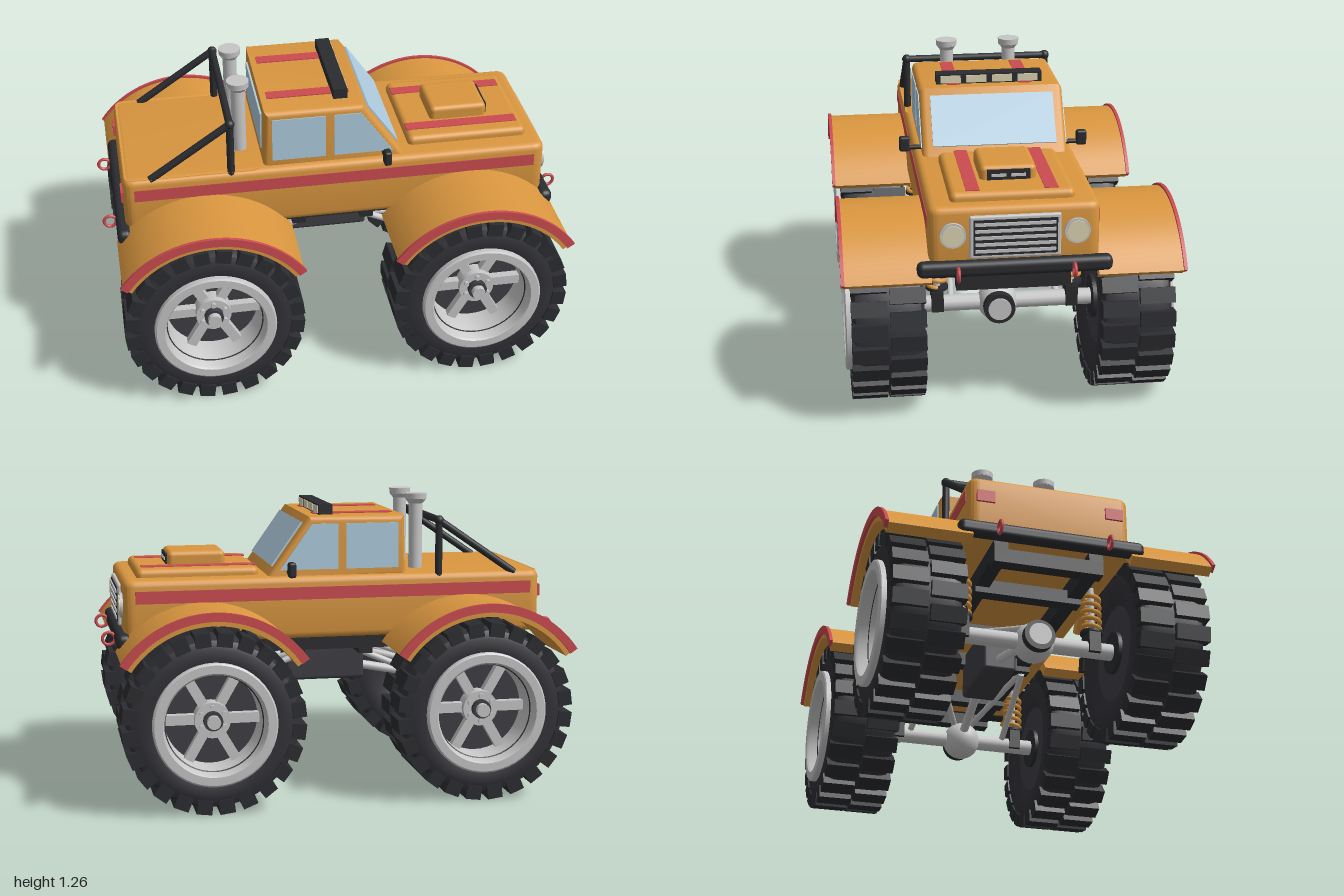
import * as THREE from 'three';
import { mergeGeometries, toCreasedNormals } from 'three/addons/utils/BufferGeometryUtils.js';
import { RoundedBoxGeometry } from 'three/addons/geometries/RoundedBoxGeometry.js';

const mat = (name, color) => Object.assign(new THREE.MeshStandardMaterial({ color }), { name });
const M = {
  paint: mat('orange paint', 0xd9963f),
  red: mat('red trim', 0xcb4b50),
  black: mat('black metal', 0x2b2c30),
  rubber: mat('tyre rubber', 0x323238),
  liner: mat('dark grey', 0x3e3d43),
  silver: mat('silver metal', 0xc6c6c6),
  glass: mat('window glass', 0xafcde0),
  lamp: mat('cream lamp', 0xdcd6b4),
};
const WX = 0.572, WY = 0.385, WZ = 0.503;
const SIDES = [1, -1];

function add(parent, name, geo, material, x = 0, y = 0, z = 0) {
  const m = new THREE.Mesh(geo, material);
  m.name = name;
  m.position.set(x, y, z);
  parent.add(m);
  return m;
}
const box = (w, h, d) => new THREE.BoxGeometry(w, h, d);
const rbox = (w, h, d, r) => new RoundedBoxGeometry(w, h, d, 3, r);
const cyl = (r1, r2, h, n = 24) => new THREE.CylinderGeometry(r1, r2, h, n);
const discZ = (r, h, n = 32) => cyl(r, r, h, n).rotateX(Math.PI / 2);
const discX = (r, h, n = 28) => cyl(r, r, h, n).rotateZ(-Math.PI / 2);

// Round bar between two points
function bar(parent, name, a, b, r, material) {
  const p = new THREE.Vector3(...a), q = new THREE.Vector3(...b);
  const m = add(parent, name, cyl(r, r, p.distanceTo(q), 12), material);
  m.position.copy(p).lerp(q, 0.5);
  m.quaternion.setFromUnitVectors(new THREE.Vector3(0, 1, 0), q.sub(p).normalize());
}
const poly = (pts) => new THREE.Shape(pts.map((p) => new THREE.Vector2(...p)));

// Extrusion centred on z, with rounded edges inside the given outline
function slab(shape, depth, b = 0) {
  const g = new THREE.ExtrudeGeometry(shape, {
    depth: depth - 2 * b, bevelEnabled: b > 0, bevelSize: b, bevelThickness: b,
    bevelOffset: -b, bevelSegments: 4, curveSegments: 20,
  });
  return toCreasedNormals(g.translate(0, 0, b - depth / 2), 0.5);
}
function roundRect(path, x0, x1, h, r) {
  path.moveTo(x0 + r, -h).lineTo(x1 - r, -h).quadraticCurveTo(x1, -h, x1, -h + r);
  path.lineTo(x1, h - r).quadraticCurveTo(x1, h, x1 - r, h);
  path.lineTo(x0 + r, h).quadraticCurveTo(x0, h, x0, h - r);
  path.lineTo(x0, -h + r).quadraticCurveTo(x0, -h, x0 + r, -h);
  return path;
}
function archShape(r0, r1) {
  const a = 0.605, s = new THREE.Shape();
  s.absarc(0, 0, r1, a, Math.PI - a, false);
  s.absarc(0, 0, r0, Math.PI - a, a, true);
  return s;
}
class Helix extends THREE.Curve {
  getPoint(t, v = new THREE.Vector3()) {
    const a = t * Math.PI * 2 * 5;
    return v.set(Math.cos(a) * 0.036, t * 0.17, Math.sin(a) * 0.036);
  }
}
const lathe = (pts) => toCreasedNormals(
  new THREE.LatheGeometry(pts.map((p) => new THREE.Vector2(...p)), 48).rotateX(Math.PI / 2), 0.6);

function makeWheel() {
  const w = new THREE.Group();
  w.name = 'wheel';
  const half = [[0.357, 0.1], [0.345, 0.13], [0.31, 0.146], [0.25, 0.145], [0.2, 0.12]];
  const low = half.map(([r, z]) => [r, -z]).reverse();
  add(w, 'tyre', lathe([...low, ...half]), M.rubber);
  // Two staggered rows of tread blocks
  const lugs = [], n = 24;
  for (let i = 0; i < n * 2; i++) {
    const side = i % 2 ? 1 : -1;
    lugs.push(box(0.064, 0.058, 0.144).translate(0, 0.35, side * 0.077).rotateZ((i * Math.PI) / n));
  }
  add(w, 'treadBlocks', mergeGeometries(lugs), M.black);
  add(w, 'rim', lathe([[0.257, 0.13], [0.257, 0.166], [0.25, 0.171], [0.216, 0.171],
    [0.208, 0.16], [0.195, 0]]), M.silver);
  add(w, 'wheelBack', discZ(0.21, 0.12), M.liner, 0, 0, -0.058);
  add(w, 'innerHub', discZ(0.09, 0.02), M.black, 0, 0, -0.125);
  for (let i = 0; i < 6; i++) {
    const a = (i * Math.PI) / 3;
    add(w, 'spoke', box(0.2, 0.042, 0.035).translate(0.105, 0, 0).rotateZ(a), M.silver, 0, 0, 0.025);
    add(w, 'wheelBolt', discZ(0.011, 0.03, 8), M.silver,
      Math.cos(a + 0.52) * 0.055, Math.sin(a + 0.52) * 0.055, 0.07);
  }
  add(w, 'hub', discZ(0.075, 0.07), M.silver, 0, 0, 0.035);
  add(w, 'hubRing', discZ(0.04, 0.04), M.liner, 0, 0, 0.075);
  add(w, 'hubCap', discZ(0.028, 0.06), M.silver, 0, 0, 0.09);
  return w;
}

function addBody(g) {
  // Lower body with an open cargo bed
  const plan = roundRect(new THREE.Shape(), -0.905, 0.908, 0.342, 0.05);
  plan.holes.push(roundRect(new THREE.Path(), -0.868, -0.355, 0.31, 0.01));
  add(g, 'body', slab(plan, 0.267, 0.028).rotateX(-Math.PI / 2), M.paint, 0, 0.8035, 0);
  add(g, 'bedUnderside', box(0.53, 0.11, 0.63), M.paint, -0.61, 0.73, 0);
  add(g, 'bedFloor', box(0.53, 0.02, 0.63), M.liner, -0.61, 0.795, 0);
  // Hood and scoop
  add(g, 'hood', rbox(0.52, 0.07, 0.5, 0.025), M.paint, 0.585, 0.938, 0);
  add(g, 'hoodScoop', rbox(0.25, 0.09, 0.23, 0.022), M.paint, 0.575, 0.985, 0);
  add(g, 'scoopIntake', box(0.012, 0.045, 0.175), M.black, 0.7, 0.993, 0);
  for (const s of SIDES) add(g, 'scoopSlot', box(0.008, 0.012, 0.06), M.silver, 0.706, 0.993, s * 0.04);
  // Cab and its glass
  const cab = poly([[-0.31, 0.92], [0.302, 0.92], [0.29, 0.94], [0.115, 1.187], [-0.302, 1.187]]);
  add(g, 'cab', slab(cab, 0.62, 0.025), M.paint);
  add(g, 'windscreen', box(0.008, 0.228, 0.53), M.glass, 0.206, 1.068, 0).rotation.z = 0.616;
  add(g, 'rearWindow', box(0.008, 0.165, 0.46), M.glass, -0.308, 1.062, 0);
  const frontPane = poly([[-0.01, 0.963], [0.243, 0.963], [0.105, 1.157], [-0.01, 1.157]]);
  for (const s of SIDES) {
    add(g, 'rearSideWindow', box(0.228, 0.194, 0.008), M.glass, -0.159, 1.06, s * 0.31);
    add(g, 'frontSideWindow', slab(frontPane, 0.008), M.glass, 0, 0, s * 0.31);
    // Stripes
    add(g, 'sideStripe', box(1.72, 0.053, 0.006), M.red, 0, 0.866, s * 0.342);
    add(g, 'hoodStripe', box(0.49, 0.006, 0.055), M.red, 0.575, 0.973, s * 0.157);
    add(g, 'roofStripe', box(0.35, 0.006, 0.055), M.red, -0.1, 1.188, s * 0.157);
    // Mirrors
    bar(g, 'mirrorArm', [0.205, 0.955, s * 0.3], [0.205, 0.955, s * 0.38], 0.01, M.black);
    add(g, 'mirror', rbox(0.032, 0.065, 0.045, 0.01), M.black, 0.205, 0.972, s * 0.383);
    // Head and tail lamps
    add(g, 'headlampRing', discX(0.052, 0.03), M.silver, 0.905, 0.825, s * 0.247);
    add(g, 'headlamp', discX(0.043, 0.03), M.lamp, 0.91, 0.825, s * 0.247);
    add(g, 'tailLamp', box(0.02, 0.05, 0.075), M.red, -0.905, 0.845, s * 0.272);
    // Exhaust stacks
    add(g, 'stack', cyl(0.03, 0.03, 0.42), M.silver, -0.392, 1.015, s * 0.143);
    add(g, 'stackFlare', cyl(0.047, 0.031, 0.02), M.silver, -0.392, 1.232, s * 0.143);
    add(g, 'stackTip', cyl(0.048, 0.046, 0.026), M.silver, -0.392, 1.253, s * 0.143);
    add(g, 'stackBase', cyl(0.042, 0.042, 0.02), M.black, -0.392, 0.812, s * 0.143);
    // Roll bar
    const z = s * 0.322;
    bar(g, 'rollBarPost', [-0.45, 0.81, z], [-0.45, 1.163, z], 0.016, M.black);
    bar(g, 'rollBarBrace', [-0.45, 1.163, z], [-0.79, 0.93, z], 0.016, M.black);
    add(g, 'rollBarCorner', new THREE.SphereGeometry(0.021, 16, 10), M.black, -0.45, 1.163, z);
  }
  bar(g, 'rollBarTop', [-0.45, 1.163, -0.322], [-0.45, 1.163, 0.322], 0.016, M.black);
  // Roof light bar
  add(g, 'lightBar', box(0.06, 0.045, 0.46), M.black, 0.03, 1.208, 0);
  for (let i = 0; i < 4; i++) {
    add(g, 'roofLamp', box(0.008, 0.032, 0.088), M.lamp, 0.06, 1.208, (i - 1.5) * 0.112);
  }
  // Grille
  add(g, 'grilleFrame', rbox(0.03, 0.178, 0.364, 0.008), M.silver, 0.907, 0.814, 0);
  add(g, 'grilleBack', box(0.008, 0.148, 0.334), M.black, 0.921, 0.814, 0);
  for (let i = 0; i < 5; i++) add(g, 'grilleBar', box(0.012, 0.013, 0.32), M.silver, 0.924, 0.758 + i * 0.028, 0);
  // Bumpers and tow rings
  for (const e of SIDES) {
    add(g, 'bumper', rbox(0.06, 0.066, 0.78, 0.025), M.black, e * 0.914, 0.686, 0);
    for (const s of SIDES) {
      add(g, 'towRing', new THREE.TorusGeometry(0.026, 0.007, 8, 24), M.red, e * 0.967, 0.68, s * 0.23);
    }
  }
}

function addChassis(g) {
  for (const s of SIDES) add(g, 'frameRail', box(1.76, 0.08, 0.06), M.black, 0, 0.64, s * 0.2);
  for (const x of [-0.85, -0.572, -0.15, 0.15, 0.572, 0.85]) {
    add(g, 'crossMember', box(0.06, 0.06, 0.46), M.black, x, 0.605, 0);
  }
  add(g, 'gearbox', rbox(0.355, 0.2, 0.15, 0.015), M.liner, 0, 0.533, 0);
  for (const e of SIDES) {
    const x = e * WX;
    // Axle, differential and drive shaft
    bar(g, 'axle', [x, WY, -0.4], [x, WY, 0.4], 0.035, M.silver);
    add(g, 'differential', new THREE.SphereGeometry(0.085, 28, 18), M.silver, x, WY, 0.028);
    add(g, 'differentialRing', discX(0.066, 0.04), M.black, x + e * 0.07, WY, 0.028);
    add(g, 'differentialCover', discX(0.048, 0.04), M.silver, x + e * 0.078, WY, 0.028);
    bar(g, 'driveShaft', [x, 0.4, 0.028], [e * 0.16, 0.485, 0], 0.02, M.silver);
    for (const s of SIDES) {
      bar(g, 'lowerLink', [x, 0.4, s * 0.225], [e * 0.15, 0.575, s * 0.2], 0.014, M.silver);
      bar(g, 'upperLink', [x, 0.45, 0.028 + s * 0.03], [e * 0.15, 0.585, s * 0.2], 0.014, M.silver);
      // Coil-over suspension
      const z = s * 0.283;
      add(g, 'spring', new THREE.TubeGeometry(new Helix(), 100, 0.01, 7), M.paint, x, 0.467, z);
      bar(g, 'shock', [x, 0.4, z], [x, 0.68, z], 0.015, M.silver);
      add(g, 'springSeat', cyl(0.048, 0.048, 0.012), M.black, x, 0.462, z);
      add(g, 'springMount', box(0.09, 0.09, 0.05), M.black, x, 0.408, z);
    }
  }
}

export function createModel() {
  const g = new THREE.Group();
  g.name = 'monsterTruck';
  addBody(g);
  addChassis(g);
  const wheel = makeWheel();
  const fender = slab(archShape(0.41, 0.456), 0.345), trim = slab(archShape(0.43, 0.466), 0.014);
  for (const e of SIDES) {
    for (const s of SIDES) {
      const w = wheel.clone();
      w.position.set(e * WX, WY, s * WZ);
      w.rotation.y = s > 0 ? 0 : Math.PI;
      g.add(w);
      add(g, 'fender', fender, M.paint, e * WX, WY, s * 0.505);
      add(g, 'fenderTrim', trim, M.red, e * WX, WY, s * 0.682);
    }
  }
  return g;
}
